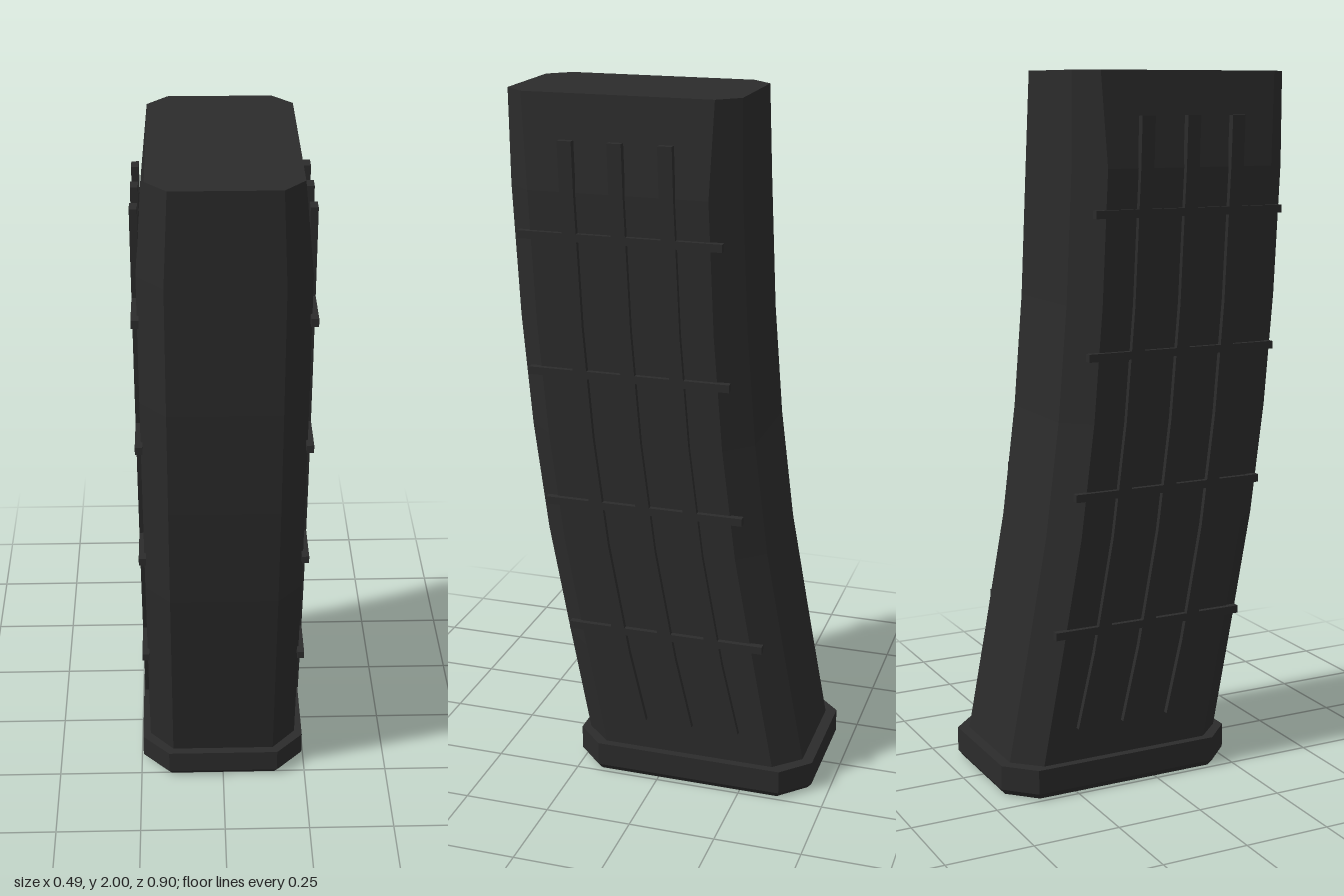
import * as THREE from 'three';

// Closed loft through rings of [x, y, z]; rings run counterclockwise about +y, bottom to top
function loft(rings) {
  const pos = [];
  const n = rings[0].length;
  const tri = (a, b, c) => pos.push(...a, ...b, ...c);
  for (let r = 0; r < rings.length - 1; r++) {
    const lo = rings[r], hi = rings[r + 1];
    for (let i = 0; i < n; i++) {
      const j = (i + 1) % n;
      tri(lo[i], lo[j], hi[j]);
      tri(lo[i], hi[j], hi[i]);
    }
  }
  const bottom = rings[0], top = rings[rings.length - 1];
  for (let i = 1; i < n - 1; i++) {
    tri(top[0], top[i], top[i + 1]);
    tri(bottom[0], bottom[i + 1], bottom[i]);
  }
  const g = new THREE.BufferGeometry();
  g.setAttribute('position', new THREE.Float32BufferAttribute(pos, 3));
  g.computeVertexNormals();
  return g;
}

// Rectangle with chamfered corners: half width w, front zf, back zb, chamfers cx by cz
function octagon(y, w, zf, zb, cx, cz) {
  return [
    [w - cx, y, zf], [w, y, zf - cz], [w, y, zb + cz], [w - cx, y, zb],
    [cx - w, y, zb], [-w, y, zb + cz], [-w, y, zf - cz], [cx - w, y, zf],
  ];
}

// Curved spine: [y, z of the body's middle]
const SPINE = [
  [0.08, -0.09], [0.4, -0.03], [0.73, 0.03], [1.05, 0.07],
  [1.37, 0.096], [1.74, 0.113], [2, 0.12],
];
const HALF_DEPTH = 0.33;

function spineZ(y) {
  let i = 0;
  while (i < SPINE.length - 2 && y > SPINE[i + 1][0]) i++;
  const [y0, z0] = SPINE[i], [y1, z1] = SPINE[i + 1];
  return z0 + (z1 - z0) * (y - y0) / (y1 - y0);
}

export function createModel() {
  const model = new THREE.Group();
  model.name = 'curvedMagazine';
  const polymer = new THREE.MeshStandardMaterial({ color: 0x2b2b2b });
  polymer.name = 'blackPolymer';

  const add = (name, geometry) => {
    const mesh = new THREE.Mesh(geometry, polymer);
    mesh.name = name;
    model.add(mesh);
    return mesh;
  };

  // Curved body, narrowing towards the top
  add('body', loft(SPINE.map(([y, z]) => {
    const top = y === 2;
    return octagon(y, top ? 0.195 : 0.222, z + HALF_DEPTH, z - HALF_DEPTH,
      top ? 0.055 : 0.07, top ? 0.06 : 0.075);
  })));

  // Floor plate with a bevelled underside
  add('floorPlate', loft([
    octagon(0, 0.232, 0.252, -0.437, 0.075, 0.075),
    octagon(0.018, 0.245, 0.265, -0.45, 0.08, 0.08),
    octagon(0.088, 0.245, 0.265, -0.45, 0.08, 0.08),
  ]));

  // Raised grip ribs on both sides
  const IN = 0.217, OUT = 0.237;
  for (const side of [1, -1]) {
    const label = side > 0 ? 'left' : 'right';
    const x0 = Math.min(side * IN, side * OUT);
    const x1 = Math.max(side * IN, side * OUT);

    // Long ribs follow the curve
    const levels = [0.185, 0.4, 0.73, 1.05, 1.37, 1.74, 1.88];
    [0.142, 0.002, -0.138].forEach((offset, i) => {
      const rings = levels.map((y) => {
        const z = spineZ(y) + offset - (y < 0.3 ? 0.015 : 0.005);
        return [[x1, y, z + 0.02], [x1, y, z - 0.02], [x0, y, z - 0.02], [x0, y, z + 0.02]];
      });
      add(`${label}LongRib${i + 1}`, loft(rings));
    });

    // Cross ribs
    [0.465, 0.85, 1.235, 1.62].forEach((y, i) => {
      const rib = add(`${label}CrossRib${i + 1}`, new THREE.BoxGeometry(OUT - IN, 0.022, 0.58));
      rib.position.set(side * (IN + OUT) / 2, y, spineZ(y) - 0.002);
    });
  }

  return model;
}
